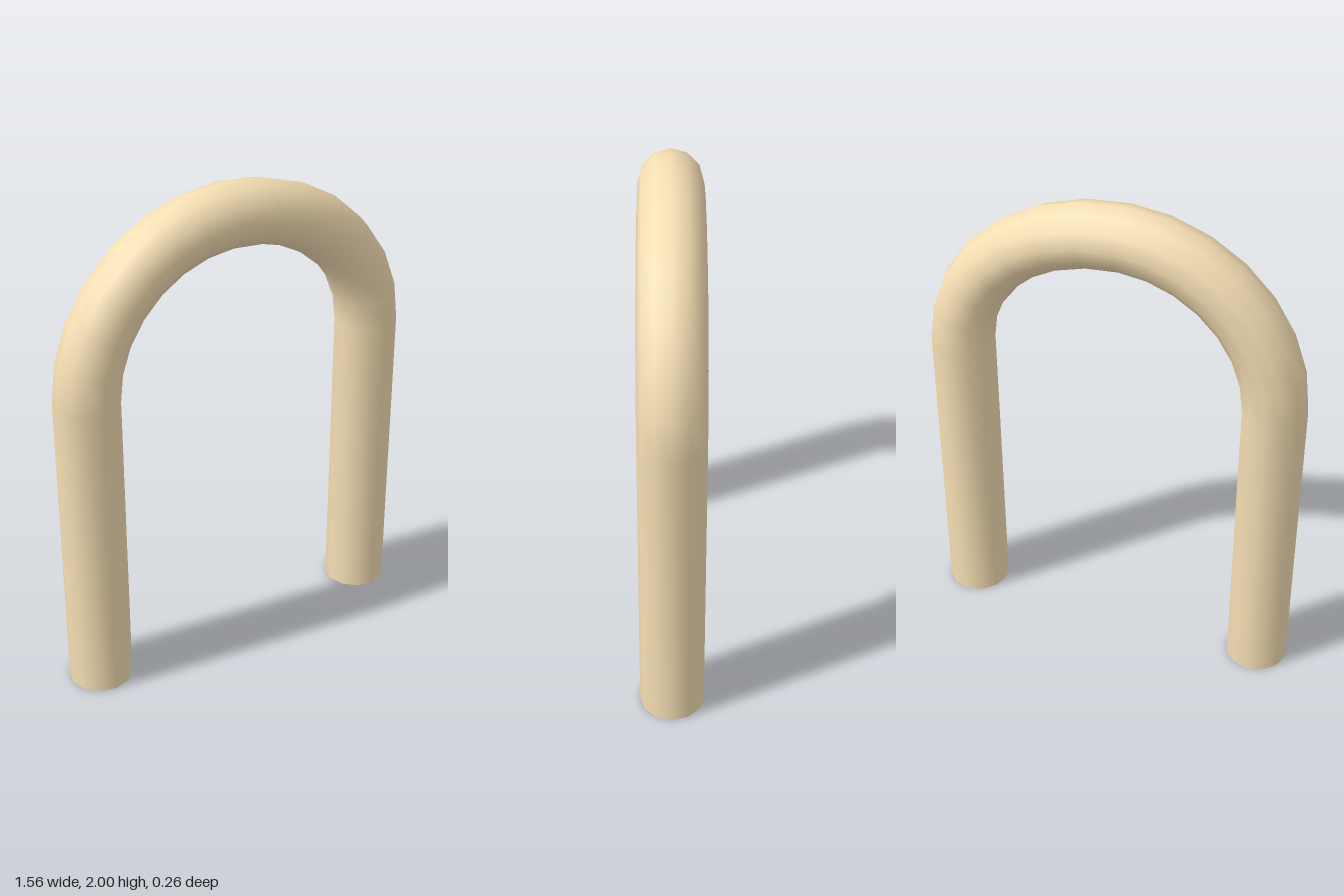
import * as THREE from 'three';

const SIDES = 12, STEPS = 7;
const R = 0.128;            // tube radius
const LEG_X = 0.654;        // leg centre line
const SPRING_Y = 1.262;     // height where the bend begins
const TOP_X = -0.04;        // crown sits slightly off centre
const RISE = 0.61;

// Stations along the centre line: position and outward direction
function stations() {
  const list = [{ x: -LEG_X, y: 0, nx: -1, ny: 0 }];
  for (let k = -STEPS; k <= STEPS; k++) {
    const a = (k / STEPS) * Math.PI / 2;
    const rx = k < 0 ? LEG_X + TOP_X : LEG_X - TOP_X;
    list.push({
      x: TOP_X + rx * Math.sin(a), y: SPRING_Y + RISE * Math.cos(a),
      nx: Math.sin(a), ny: Math.cos(a),
    });
  }
  list.push({ x: LEG_X, y: 0, nx: 1, ny: 0 });
  return list;
}

// Loft round sections through the stations
function tubeGeometry() {
  const pos = [], index = [], path = stations();
  path.forEach((s, i) => {
    for (let j = 0; j < SIDES; j++) {
      const p = (j / SIDES) * Math.PI * 2, c = R * Math.cos(p);
      pos.push(s.x + s.nx * c, s.y + s.ny * c, R * Math.sin(p));
      if (i === path.length - 1) continue;
      const a = i * SIDES + j, b = i * SIDES + (j + 1) % SIDES;
      index.push(a, b, a + SIDES, b, b + SIDES, a + SIDES);
    }
  });
  const g = new THREE.BufferGeometry();
  g.setAttribute('position', new THREE.Float32BufferAttribute(pos, 3));
  g.setIndex(index);
  g.computeVertexNormals();
  return g;
}

export function createModel() {
  const group = new THREE.Group();
  group.name = 'archedTube';
  const material = new THREE.MeshStandardMaterial({ color: 0xf5deb3 });

  const arch = new THREE.Mesh(tubeGeometry(), material);
  arch.name = 'arch';
  group.add(arch);

  // Flat ends under both legs
  for (const side of [-1, 1]) {
    const cap = new THREE.Mesh(new THREE.CircleGeometry(R, SIDES), material);
    cap.rotation.x = Math.PI / 2;
    cap.position.x = side * LEG_X;
    cap.name = side > 0 ? 'leftEndCap' : 'rightEndCap';
    group.add(cap);
  }
  return group;
}
